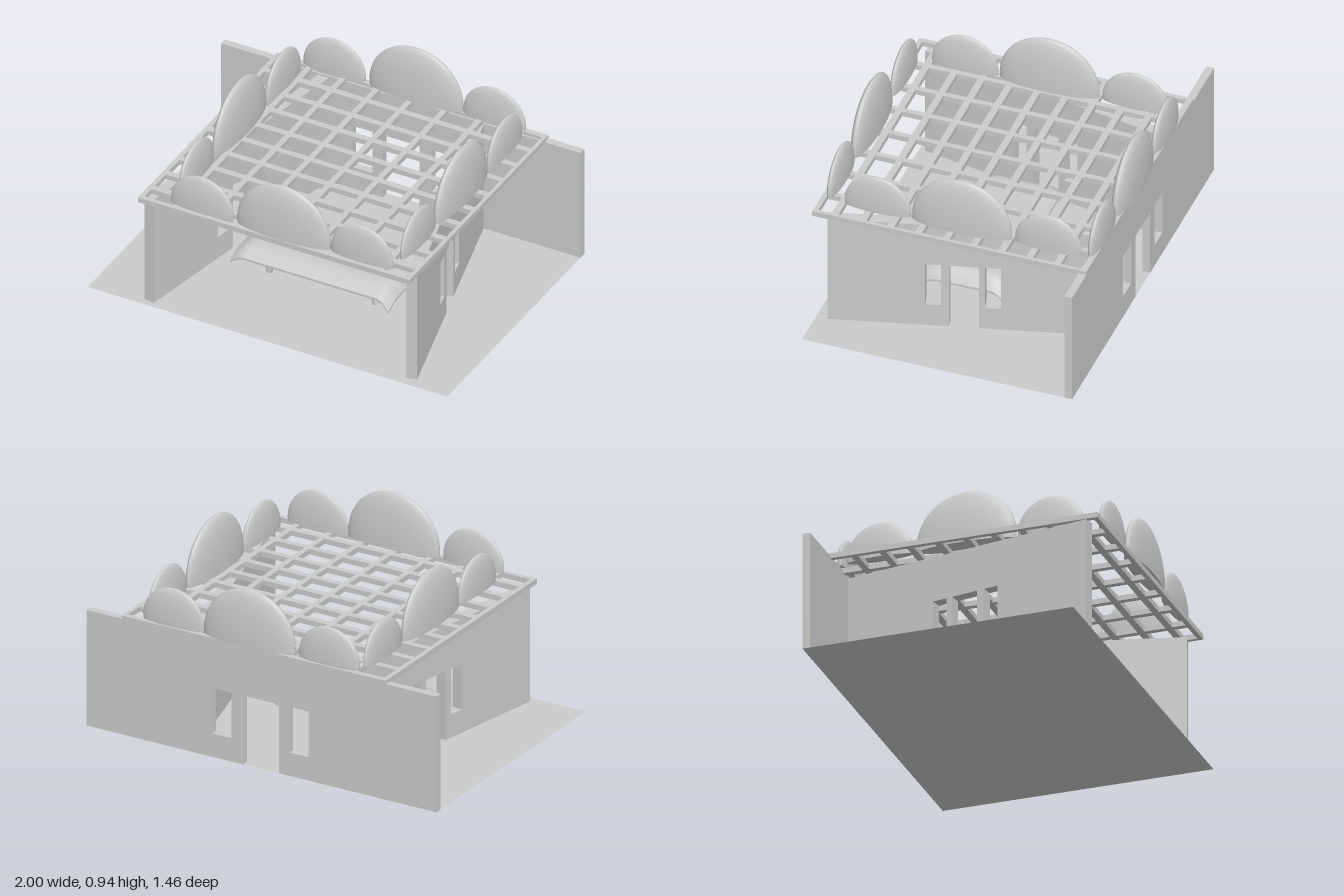
import * as THREE from 'three';

const grey = new THREE.MeshStandardMaterial({ color: 0xcccccc });
const greyDouble = new THREE.MeshStandardMaterial({ color: 0xcccccc, side: THREE.DoubleSide });

function add(parent, name, geometry, material = grey) {
  const mesh = new THREE.Mesh(geometry, material);
  mesh.name = name;
  parent.add(mesh);
  return mesh;
}

function rectHole(x0, y0, x1, y1) {
  return new THREE.Path([
    new THREE.Vector2(x0, y0), new THREE.Vector2(x0, y1),
    new THREE.Vector2(x1, y1), new THREE.Vector2(x1, y0),
  ]);
}

// Wall between two floor points [x, z], with one doorway and two windows.
// Openings are [start, end] along the wall; thickness grows to the right of travel.
function makeWall(parent, name, from, to, height, thickness, door, windows) {
  const dx = to[0] - from[0], dz = to[1] - from[1];
  const length = Math.hypot(dx, dz), top = 0.37, sill = 0.125;
  const shape = new THREE.Shape([
    [0, 0], [door[0], 0], [door[0], top], [door[1], top], [door[1], 0],
    [length, 0], [length, height], [0, height],
  ].map(p => new THREE.Vector2(...p)));
  for (const [a, b] of windows) shape.holes.push(rectHole(a, sill, b, top));
  const wall = add(parent, name, new THREE.ExtrudeGeometry(shape, { depth: thickness, bevelEnabled: false }));
  wall.position.set(from[0], 0, from[1]);
  wall.rotation.y = Math.atan2(-dz, dx);
}

// Slanted side wall whose openings are given by z
function makeSideWall(parent, name, from, to) {
  const dz = to[1] - from[1];
  const k = Math.hypot(to[0] - from[0], dz) / dz;
  const span = (z0, z1) => [(z0 - from[1]) * k, (z1 - from[1]) * k];
  makeWall(parent, name, from, to, 0.61, 0.057, span(-0.08, 0.06),
    [span(-0.185, -0.11), span(0.1, 0.175)]);
}

// Flattened dome, cut flat a little below its widest level
function makeDome(parent, x, z, big, alongZ) {
  const r = big ? 0.26 : 0.173, half = big ? 0.05 : 0.032;
  const base = 0.645, centre = (big ? 0.935 : 0.84) - r;
  const drop = centre - base;
  const dome = new THREE.Group();
  dome.name = big ? 'largeDome' : 'smallDome';
  add(dome, 'domeShell', new THREE.SphereGeometry(r, 48, 24, 0, Math.PI * 2, 0, Math.acos(-drop / r)));
  const disc = add(dome, 'domeBase', new THREE.CircleGeometry(Math.sqrt(r * r - drop * drop), 48));
  disc.rotation.x = Math.PI / 2;
  disc.position.y = -drop;
  dome.scale.z = half / r;
  if (alongZ) dome.rotation.y = Math.PI / 2;
  dome.position.set(x, centre, z);
  parent.add(dome);
}

function makeRoof(parent) {
  const x0 = -0.71, x1 = 0.8, z0 = -0.71, z1 = 0.72;
  const shape = new THREE.Shape([
    new THREE.Vector2(x0, z0), new THREE.Vector2(x1, z0),
    new THREE.Vector2(x1, z1), new THREE.Vector2(x0, z1),
  ]);
  for (let i = 0; i < 8; i++) {
    for (let j = 0; j < 10; j++) {
      const x = -0.685 + i * 0.19, z = -0.68 + j * 0.145;
      shape.holes.push(rectHole(x, z, Math.min(x + 0.16, 0.78), Math.min(z + 0.11, 0.695)));
    }
  }
  const roof = add(parent, 'latticeRoof', new THREE.ExtrudeGeometry(shape, { depth: 0.028, bevelEnabled: false }));
  roof.rotation.x = Math.PI / 2;
  roof.position.y = 0.637;
}

function makeTable(parent) {
  const table = new THREE.Group();
  table.name = 'table';
  // Tabletop: thin slab whose edges droop
  const top = new THREE.BoxGeometry(0.88, 0.012, 0.43, 44, 1, 24);
  const p = top.attributes.position;
  const ease = (v, a, b) => Math.max(0, (v - a) / (b - a)) ** 1.5;
  for (let i = 0; i < p.count; i++) {
    const x = p.getX(i), z = p.getZ(i);
    const ends = x < 0 ? 0.04 * ease(-x, 0.37, 0.44) : 0.06 * ease(x, 0.38, 0.44);
    const sides = z < 0 ? 0.035 * ease(-z, 0.16, 0.215) : 0.035 * ease(z, 0.12, 0.215);
    p.setY(i, p.getY(i) - ends - sides);
  }
  top.computeVertexNormals();
  add(table, 'tabletop', top).position.set(0.01, 0.164, 0.075);
  // Splayed legs
  for (const side of [-1, 1]) {
    for (const z of [-0.03, 0.17]) {
      const leg = add(table, 'tableLeg', new THREE.CylinderGeometry(0.014, 0.017, 0.155, 16));
      leg.position.set(0.02 + side * 0.278, 0.087, z);
      leg.rotation.z = side * 0.25;
    }
  }
  parent.add(table);
}

export function createModel() {
  const model = new THREE.Group();
  model.name = 'pavilion';

  const ground = add(model, 'floor', new THREE.PlaneGeometry(2, 1.41), greyDouble);
  ground.rotation.x = -Math.PI / 2;
  ground.position.z = -0.005;

  // Walls
  makeWall(model, 'backWall', [-1, -0.71], [1, -0.71], 0.62, 0.04,
    [0.9, 1.105], [[0.73, 0.842], [1.172, 1.283]]);
  makeSideWall(model, 'leftWall', [0.46, -0.675], [0.8, 0.64]);
  makeSideWall(model, 'rightWall', [-0.4, -0.675], [-0.65, 0.67]);

  makeRoof(model);

  // Domes: three along every edge of the roof
  for (const z of [0.677, -0.685]) {
    for (const [x, big] of [[-0.375, false], [0.08, true], [0.515, false]]) makeDome(model, x, z, big, false);
  }
  for (const x of [-0.547, 0.685]) {
    for (const [z, big] of [[-0.47, false], [-0.02, true], [0.42, false]]) makeDome(model, x, z, big, true);
  }

  makeTable(model);
  return model;
}
